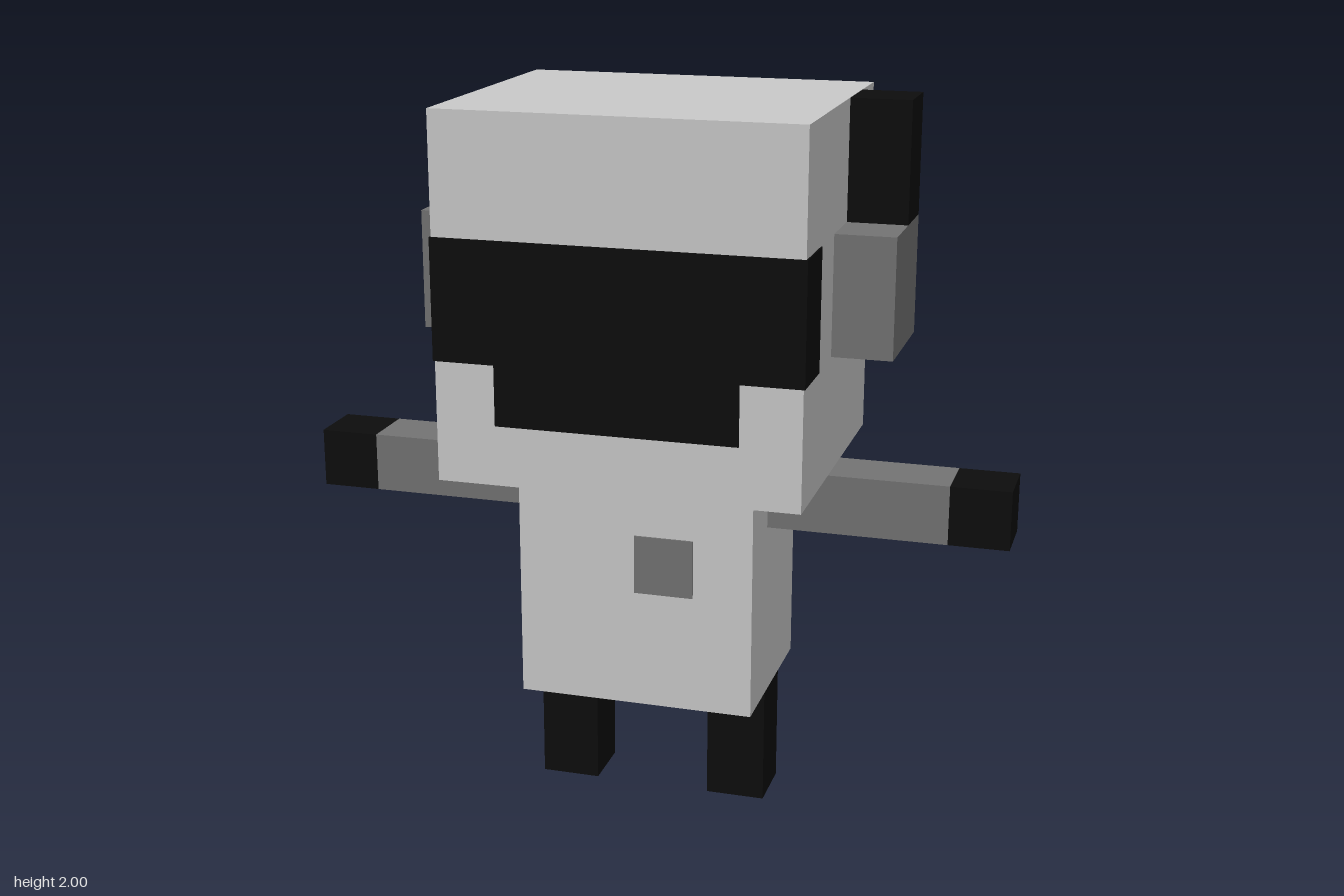
import * as THREE from 'three';

// All parts sit on a grid of 12 cells per unit
const CELL = 1 / 12;
const THIN = 0.05; // plate thickness in cells

const flat = (name, color) => {
  const m = new THREE.MeshStandardMaterial({ color });
  m.name = name;
  return m;
};

export function createModel() {
  const light = flat('lightGrey', 0xc9c9c9);
  const mid = flat('midGrey', 0x737373);
  const dark = flat('darkGrey', 0x4a4a4a);
  const black = flat('black', 0x0d0d0d);

  const model = new THREE.Group();
  model.name = 'blockFigure';

  // Box between two corners, given in grid cells
  const box = (name, material, [x0, y0, z0], [x1, y1, z1]) => {
    const geometry = new THREE.BoxGeometry((x1 - x0) * CELL, (y1 - y0) * CELL, (z1 - z0) * CELL);
    const mesh = new THREE.Mesh(geometry, material);
    mesh.position.set((x0 + x1) / 2, (y0 + y1) / 2, (z0 + z1) / 2).multiplyScalar(CELL);
    mesh.name = name;
    model.add(mesh);
  };

  // The same box on both sides of the body
  const pair = (name, material, [x0, y0, z0], [x1, y1, z1]) => {
    box('left' + name, material, [x0, y0, z0], [x1, y1, z1]);
    box('right' + name, material, [-x1, y0, z0], [-x0, y1, z1]);
  };

  // Body
  box('head', light, [-6, 12, -5], [6, 24, 5]);
  box('torso', light, [-4, 4, -3], [4, 12, 3]);
  box('backpack', dark, [-2, 6, -5], [2, 12, -3]);

  // Limbs
  pair('Leg', black, [2, 0, -1], [4, 4, 1]);
  pair('Arm', mid, [4, 10, -1], [10, 12, 1]);
  pair('Hand', black, [10, 10, -1], [12, 12, 1]);

  // Earpieces, with an antenna on the left one
  pair('Earpiece', mid, [6, 16, -3], [8, 20, 1]);
  box('antenna', black, [6, 20, -3], [8, 24, -1]);

  // Visor painted on the face, wrapping round the sides of the head
  box('visor', black, [-6, 16, 5], [6, 20, 5 + THIN]);
  box('visorLower', black, [-4, 14, 5], [4, 16, 5 + THIN]);
  pair('VisorSide', black, [6, 16, 3], [6 + THIN, 20, 5 + THIN]);

  // Chest badge
  box('chestBadge', mid, [0, 8, 3], [2, 10, 3 + THIN]);

  return model;
}
